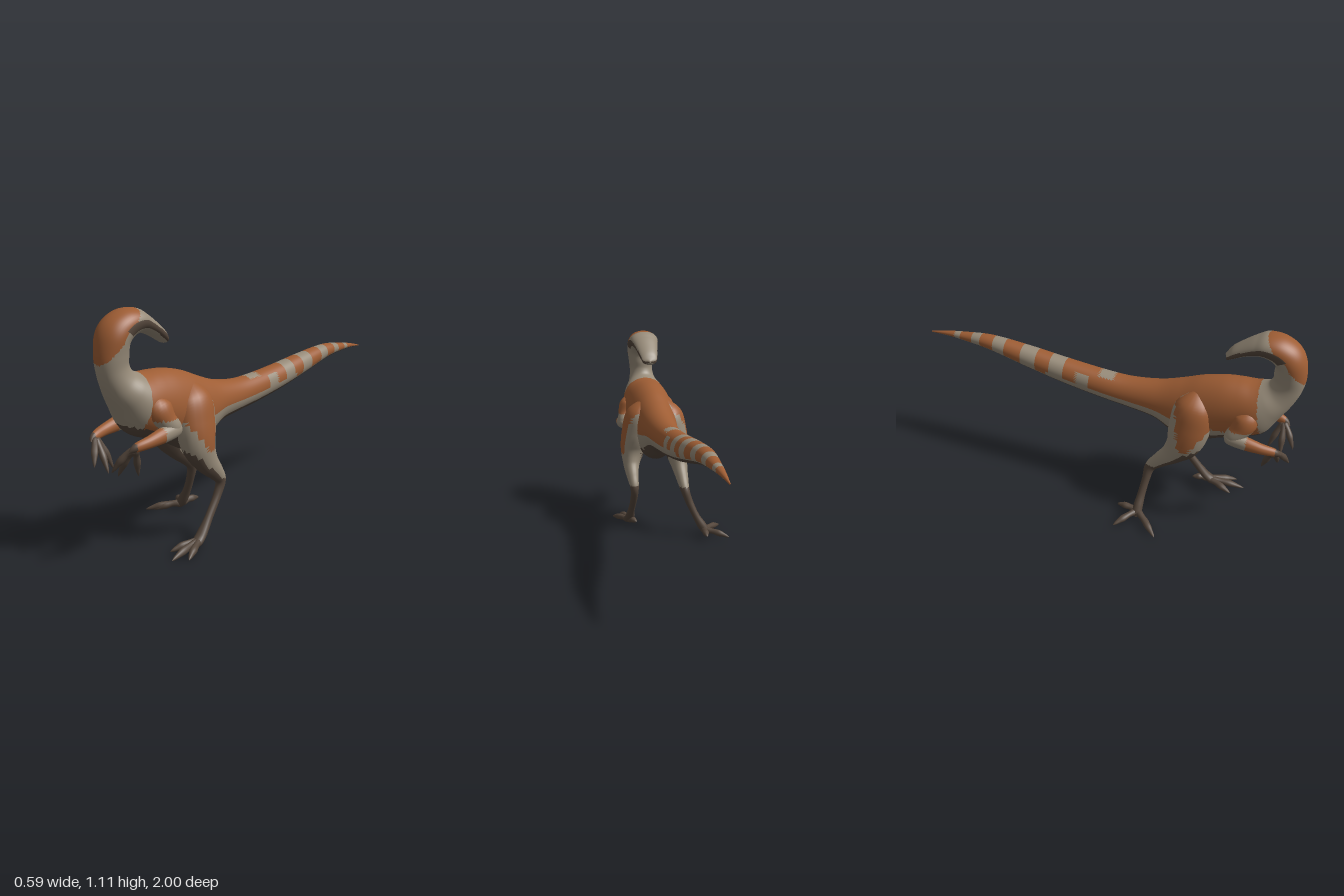
import * as THREE from 'three';

const mat = (name, color) => Object.assign(new THREE.MeshStandardMaterial({ color }), { name });
const RUST = 0, SAND = 1, DARK = 2;
const CX = 0.066; // middle line of the body

// Catmull-Rom interpolation of every column of a table
function smooth(rows, steps) {
  const out = [], last = rows.length - 1;
  for (let i = 0; i <= last * steps; i++) {
    const k = Math.min(Math.floor(i / steps), last - 1), t = i / steps - k;
    const [a, b, c, d] = [-1, 0, 1, 2].map(o => rows[Math.min(last, Math.max(0, k + o))]);
    out.push(b.map((_, n) => 0.5 * (2 * b[n] + (c[n] - a[n]) * t
      + (2 * a[n] - 5 * b[n] + 4 * c[n] - d[n]) * t * t
      + (3 * b[n] - a[n] - 3 * c[n] + d[n]) * t * t * t)));
  }
  return out;
}

// Skin over elliptical rings { c: centre, u: side axis, w: upper axis }, coloured face by face
function skin(name, rings, sides, steps, materials, rule) {
  const pos = [], faces = [[], [], []], P = [];
  for (const { c, u, w } of rings) {
    for (let j = 0; j < sides; j++) {
      const a = j / sides * Math.PI * 2;
      const p = c.clone().addScaledVector(w, Math.cos(a)).addScaledVector(u, Math.sin(a));
      P.push(p);
      pos.push(p.x, p.y, p.z);
    }
  }
  const tri = new THREE.Triangle(), mid = new THREE.Vector3(), nor = new THREE.Vector3();
  for (let i = 0; i < rings.length - 1; i++) {
    for (let j = 0; j < sides; j++) {
      const a = i * sides + j, b = i * sides + (j + 1) % sides, c = a + sides, d = b + sides;
      for (const f of [[a, c, b], [c, d, b]]) {
        tri.set(...f.map(q => P[q]));
        tri.getMidpoint(mid);
        tri.getNormal(nor);
        faces[rule(mid, nor, Math.cos((j + 0.5) / sides * Math.PI * 2), i / steps)].push(...f);
      }
    }
  }
  const g = new THREE.BufferGeometry();
  g.setAttribute('position', new THREE.Float32BufferAttribute(pos, 3));
  g.setIndex(faces.flat());
  let start = 0;
  faces.forEach((f, m) => {
    if (f.length) g.addGroup(start, f.length, m);
    start += f.length;
  });
  g.computeVertexNormals();
  const mesh = new THREE.Mesh(g, materials);
  mesh.name = name;
  return mesh;
}

// Limb along rows of x, y, z, side radius, depth radius
function limb(name, rows, materials, rule = () => DARK, sides = 20, steps = 8) {
  const pts = smooth(rows, steps);
  const at = i => new THREE.Vector3(...pts[Math.min(pts.length - 1, Math.max(0, i))].slice(0, 3));
  const whole = at(pts.length).sub(at(0)).normalize();
  const ref = Math.abs(whole.x) > 0.75 ? new THREE.Vector3(0, 0, 1) : new THREE.Vector3(1, 0, 0);
  const rings = pts.map((p, i) => {
    const t = at(i + 1).sub(at(i - 1)).normalize();
    const u = ref.clone().addScaledVector(t, -ref.dot(t)).normalize();
    const w = t.clone().cross(u);
    return { c: at(i), u: u.multiplyScalar(Math.max(0.001, p[3])), w: w.multiplyScalar(Math.max(0.001, p[4])) };
  });
  return skin(name, rings, sides, steps, materials, rule);
}

// Finger or toe: knuckled, arched, ending in a claw
function digit(name, a, b, r, lift, materials) {
  const row = (t, s, up) => [...a.map((v, i) => v + (b[i] - v) * t + (i === 1 ? up : 0)), r * s, r * s];
  return limb(name, [row(0, 0.1, 0), row(0.08, 1, 0), row(0.35, 0.85, lift), row(0.6, 1, lift),
    row(0.78, 0.7, lift * 0.7), row(0.92, 0.4, lift * 0.3), row(1, 0.05, 0)], materials, () => DARK, 10, 4);
}

// Body rings: upper edge z, y, lower edge z, y, half width (tail tip to snout)
const SPINE = [
  [-1, .728, -1, .722, .002], [-.9, .75, -.9, .725, .014], [-.8, .765, -.8, .72, .025],
  [-.63, .78, -.63, .70, .043], [-.4, .76, -.4, .645, .058], [-.2, .735, -.2, .60, .065],
  [0, .715, 0, .565, .07], [.15, .71, .15, .545, .075], [.3, .73, .3, .52, .09],
  [.42, .77, .4, .46, .11], [.52, .81, .5, .43, .125], [.62, .835, .62, .485, .13],
  [.7, .842, .74, .535, .132], [.76, .842, .85, .585, .13], [.8, .848, .915, .69, .108],
  [.835, .865, .96, .77, .08], [.85, .895, .99, .85, .068], [.85, .93, 1, .93, .072],
  [.85, .972, .985, 1.02, .081], [.83, .995, .945, 1.08, .084], [.81, 1.005, .875, 1.117, .084],
  [.78, 1.01, .8, 1.12, .08], [.745, 1.003, .75, 1.095, .07], [.7, .985, .7, 1.06, .06],
  [.655, .96, .65, 1.02, .05], [.63, .948, .628, .99, .038], [.618, .962, .616, .972, .004],
];
const BANDS = [[-.28, -.2], [-.45, -.36], [-.61, -.54], [-.74, -.69], [-.85, -.81]];

function bodyColour(p, n, c, k) {
  if (k > 17) { // head: the crown is on the outside of the bend
    const o = -c;
    if (p.z < 0.69) return o > 0.3 || o < -0.6 ? SAND : DARK;
    if (k > 18.7 && p.z < 0.91 && o > -0.45 && o < 0.08) return DARK;
    if (p.z < 0.8 && o < 0.35) return SAND;
    return o > 0 && p.y > 0.9 + (1 - p.z) * 1.1 ? RUST : SAND;
  }
  if (p.z > 0.4) { // trunk and neck
    if (p.y < 0.5 + 0.26 * (p.z - 0.4)) return DARK;
    if (p.y > 0.9 + (1 - p.z) * 1.1) return RUST;
    if (p.z > 0.83 - 0.18 * (p.y - 0.67)) return SAND;
    return p.y < 0.6 ? SAND : RUST;
  }
  if (c < -0.6) return DARK; // tail
  if (BANDS.some(([a, b]) => p.z > a && p.z < b)) return SAND;
  if (p.z > -0.01 && p.z < 0.07 && Math.abs(p.x - CX) < 0.04 && c > 0) return SAND;
  if (p.z > -0.13 && p.z < -0.06 && c < 0.75) return SAND;
  return c < (p.z > -0.3 ? -0.15 : -0.45) ? SAND : RUST;
}

const legColour = (side, shift) => (p, n) => {
  if (p.y < 0.3 || (p.y < 0.47 && n.y < -0.3)) return DARK;
  const h = p.y - 0.46, z = p.z + shift;
  return h > 0 && n.x * side > 0 && z > 0.5 - 0.2 * h && z < 0.54 + 0.66 * h ? RUST : SAND;
};

export function createModel() {
  const root = new THREE.Group();
  root.name = 'dinosaur';
  const M = [mat('rust hide', 0x9e5d34), mat('sand hide', 0x978b79), mat('dark hide', 0x54463b)];

  // Tail, trunk, neck and head in one skin
  const rings = smooth(SPINE, 10).map(([az, ay, bz, by, w]) => ({
    c: new THREE.Vector3(CX, (ay + by) / 2, (az + bz) / 2),
    u: new THREE.Vector3(Math.max(0.001, w), 0, 0),
    w: new THREE.Vector3(0, (ay - by) / 2, (az - bz) / 2),
  }));
  root.add(skin('body', rings, 48, 10, M, bodyColour));

  // Legs: left steps forward, right stands behind and turns out
  root.add(limb('leftLeg', [
    [.12, .77, .53, .01, .02], [.145, .69, .53, .075, .095], [.17, .58, .54, .08, .105],
    [.19, .48, .54, .07, .085], [.205, .40, .505, .046, .06], [.207, .34, .45, .033, .042],
    [.205, .285, .412, .024, .028], [.205, .22, .435, .02, .02], [.21, .13, .50, .019, .02],
    [.215, .06, .56, .027, .021], [.22, .032, .60, .025, .018], [.222, .02, .62, .003, .003],
  ], M, legColour(1, 0)));
  root.add(limb('rightLeg', [
    [.01, .77, .52, .01, .02], [-.013, .69, .51, .075, .095], [-.037, .58, .50, .08, .105],
    [-.055, .48, .48, .068, .09], [-.06, .40, .43, .046, .06], [-.063, .34, .37, .034, .042],
    [-.068, .28, .318, .025, .029], [-.09, .21, .305, .021, .021], [-.125, .13, .295, .02, .021],
    [-.16, .07, .29, .025, .025], [-.185, .035, .29, .02, .024], [-.2, .022, .29, .003, .003],
  ], M, legColour(-1, 0.03)));

  // Toes
  const toes = {
    leftToe: [[.215, .04, .57], [[.29, .016, .72], [.235, .014, .77], [.165, .016, .71], [.185, .05, .49]]],
    rightToe: [[-.17, .045, .29], [[-.297, .016, .425], [-.265, .016, .4], [-.295, .02, .2], [-.16, .045, .175]]],
  };
  for (const [name, [from, tips]] of Object.entries(toes)) {
    tips.forEach(tip => root.add(digit(name, from, tip, 0.018, 0.006, M)));
  }

  // Arms and fingers, mirrored about the middle line
  for (const [word, s] of [['left', 1], ['right', -1]]) {
    const X = d => CX + s * d;
    root.add(limb(word + 'UpperArm', [
      [X(.07), .76, .765, .01, .02], [X(.105), .70, .77, .05, .06], [X(.13), .64, .745, .042, .048],
      [X(.145), .60, .71, .032, .036], [X(.148), .58, .695, .004, .004],
    ], M, p => p.y > 0.65 ? RUST : SAND));
    root.add(limb(word + 'Forearm', [
      [X(.146), .60, .68, .004, .004], [X(.147), .60, .70, .028, .032], [X(.148), .59, .77, .031, .036],
      [X(.145), .575, .86, .025, .027], [X(.132), .562, .925, .018, .02], [X(.12), .545, .955, .004, .004],
    ], M, p => p.z > 0.93 ? DARK : p.z > 0.79 ? RUST : SAND));
    for (const [d, y, z] of [[.055, .455, .995], [.03, .42, .94], [.08, .415, .87]]) {
      root.add(digit(word + 'Finger', [X(.127), .56, .925], [X(d), y, z], 0.016, 0.012, M));
    }
  }
  return root;
}
